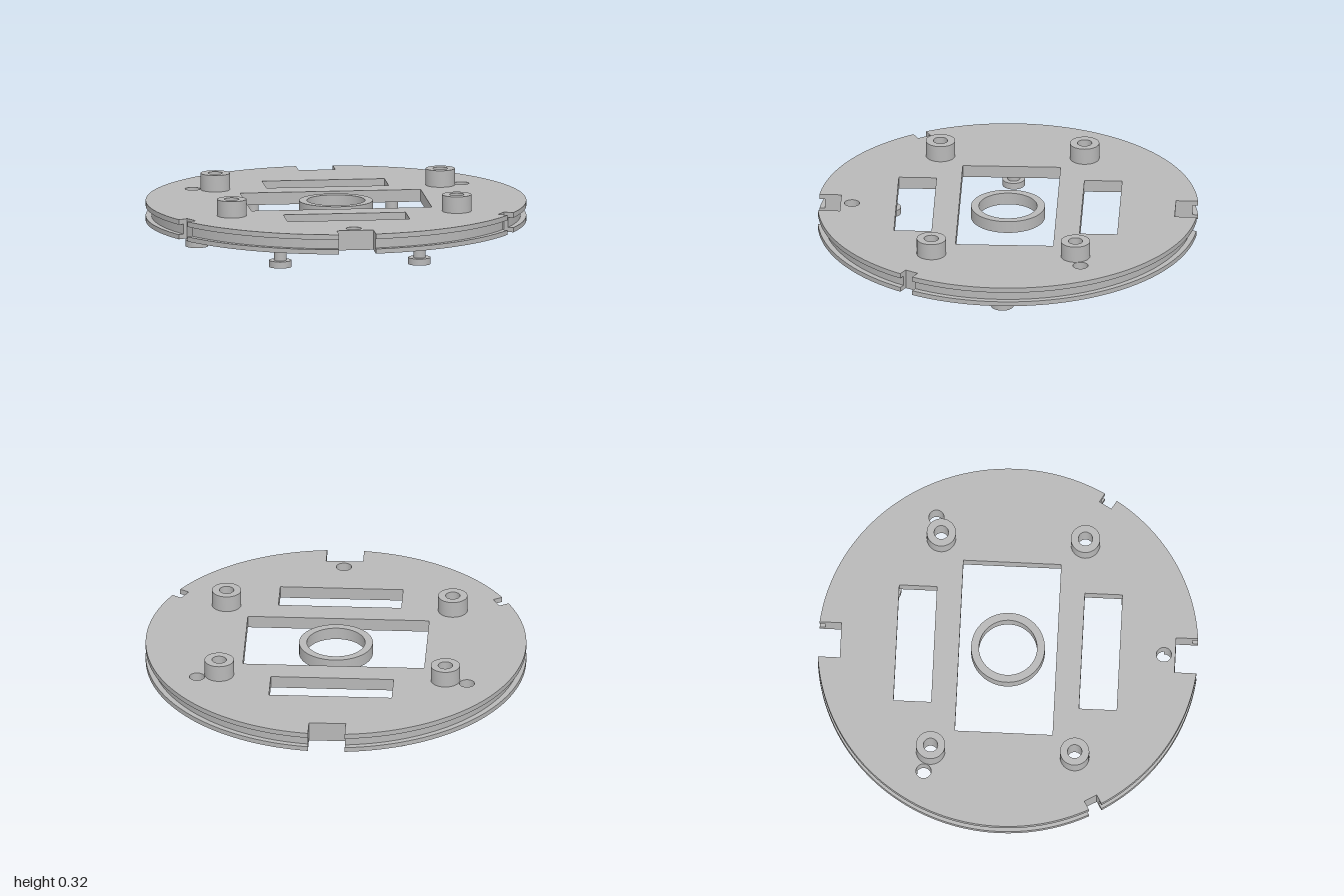
import * as THREE from 'three';
import { toCreasedNormals } from 'three/addons/utils/BufferGeometryUtils.js';

const HALF = Math.PI / 2, DEG = Math.PI / 180;

// Heights of the stacked layers
const BASE = 0.125, GROOVE_LOW = 0.15, CEILING = 0.165, GROOVE_HIGH = 0.203, TOP = 0.23, BOSS_TOP = 0.318;

// Edge notches (angle, half width, floor distance) and pin holes, in the x/z plane
const NOTCHES = [[30, 0.037, 0.946], [90, 0.097, 0.88], [150, 0.037, 0.946], [270, 0.097, 0.88]];
const PIN_ANGLES = [90, 210, 330], POCKET_R = 0.82, PIN_R = 0.04;
const BOSSES = [[-1, -1], [1, -1], [1, 1], [-1, 1]].map(([x, z]) => [x * 0.595, z * 0.379]);

const material = new THREE.MeshStandardMaterial({ color: 0xb8b8b8 });
material.name = 'grey plastic';

// Disc outline with the notches cut into it
function outline(radius) {
  const shape = new THREE.Shape();
  const last = NOTCHES[NOTCHES.length - 1];
  let start = (last[0] - 360) * DEG + Math.asin(last[1] / radius);
  for (const [deg, half, floor] of NOTCHES) {
    const a = deg * DEG, b = Math.asin(half / radius), c = Math.cos(a), s = Math.sin(a);
    shape.absarc(0, 0, radius, start, a - b, false);
    shape.lineTo(floor * c + half * s, floor * s - half * c);
    shape.lineTo(floor * c - half * s, floor * s + half * c);
    start = a + b;
  }
  return shape;
}

// Round underside pocket, bulging outwards where the pin holes cross its wall
function pocket() {
  const path = new THREE.Path();
  const a = 2 * Math.asin(PIN_R / 2 / POCKET_R), t = HALF + a / 2;
  let start = -30 * DEG + a;
  for (const deg of PIN_ANGLES) {
    const p = deg * DEG;
    path.absarc(0, 0, POCKET_R, start, p - a, false);
    path.absarc(POCKET_R * Math.cos(p), POCKET_R * Math.sin(p), PIN_R, p - t, p + t, false);
    start = p + a;
  }
  return path;
}

function circle(x, z, r, Type = THREE.Path) {
  return new Type().absarc(x, z, r, 0, Math.PI * 2, false);
}

function rectangle(x, z, halfX, halfZ) {
  return new THREE.Path().moveTo(x - halfX, z - halfZ).lineTo(x + halfX, z - halfZ)
    .lineTo(x + halfX, z + halfZ).lineTo(x - halfX, z + halfZ).closePath();
}

function hexagon(x, z, r) {
  const points = [];
  for (let i = 0; i < 6; i++) {
    points.push(new THREE.Vector2(x + r * Math.cos(i * 60 * DEG), z + r * Math.sin(i * 60 * DEG)));
  }
  return new THREE.Path(points).closePath();
}

// Windows and pin holes that go through the whole plate
function openings() {
  return [
    rectangle(0, 0, 0.477, 0.257),
    rectangle(0, -0.488, 0.323, 0.099),
    rectangle(0, 0.488, 0.323, 0.099),
    ...PIN_ANGLES.map((d) => circle(POCKET_R * Math.cos(d * DEG), POCKET_R * Math.sin(d * DEG), PIN_R)),
  ];
}

// Extrude an x/z shape between two heights
function slab(name, shape, holes, low, high, curveSegments = 40) {
  shape.holes.push(...holes);
  const geometry = new THREE.ExtrudeGeometry(shape, { depth: high - low, bevelEnabled: false, curveSegments });
  geometry.rotateX(HALF).translate(0, high, 0);
  const mesh = new THREE.Mesh(toCreasedNormals(geometry, 0.6), material);
  mesh.name = name;
  return mesh;
}

function cylinder(name, r, low, high) {
  const mesh = new THREE.Mesh(new THREE.CylinderGeometry(r, r, high - low, 40), material);
  mesh.position.y = (low + high) / 2;
  mesh.name = name;
  return mesh;
}

export function createModel() {
  const model = new THREE.Group();
  model.name = 'mountingPlate';

  // Plate: lower flange, groove walls, upper flange
  const boltHoles = () => BOSSES.map(([x, z]) => circle(x, z, 0.038));
  const nutPockets = BOSSES.map(([x, z]) => hexagon(x, z, 0.064));
  model.add(
    slab('lowerFlange', outline(1), [pocket()], BASE, GROOVE_LOW),
    slab('pocketWall', outline(0.97), [pocket()], GROOVE_LOW, CEILING),
    slab('grooveCore', outline(0.97), [...openings(), ...nutPockets], CEILING, GROOVE_HIGH),
    slab('upperFlange', outline(1), [...openings(), ...boltHoles()], GROOVE_HIGH, TOP),
  );

  // Loose ring in the central window
  model.add(slab('centreRing', circle(0, 0, 0.194, THREE.Shape), [circle(0, 0, 0.153)], CEILING, TOP));

  // Hollow bosses on top
  for (const [x, z] of BOSSES) {
    model.add(slab('boss', circle(x, z, 0.077, THREE.Shape), [circle(x, z, 0.038)], TOP, BOSS_TOP, 20));
  }

  // Six headed pegs hanging from the pocket ceiling
  for (let i = 0; i < 6; i++) {
    const peg = new THREE.Group();
    peg.name = 'peg';
    peg.add(cylinder('pegHead', 0.059, 0, 0.035), cylinder('pegStem', 0.032, 0.035, CEILING));
    peg.position.set(0.736 * Math.cos(i * 60 * DEG), 0, 0.736 * Math.sin(i * 60 * DEG));
    model.add(peg);
  }
  return model;
}
